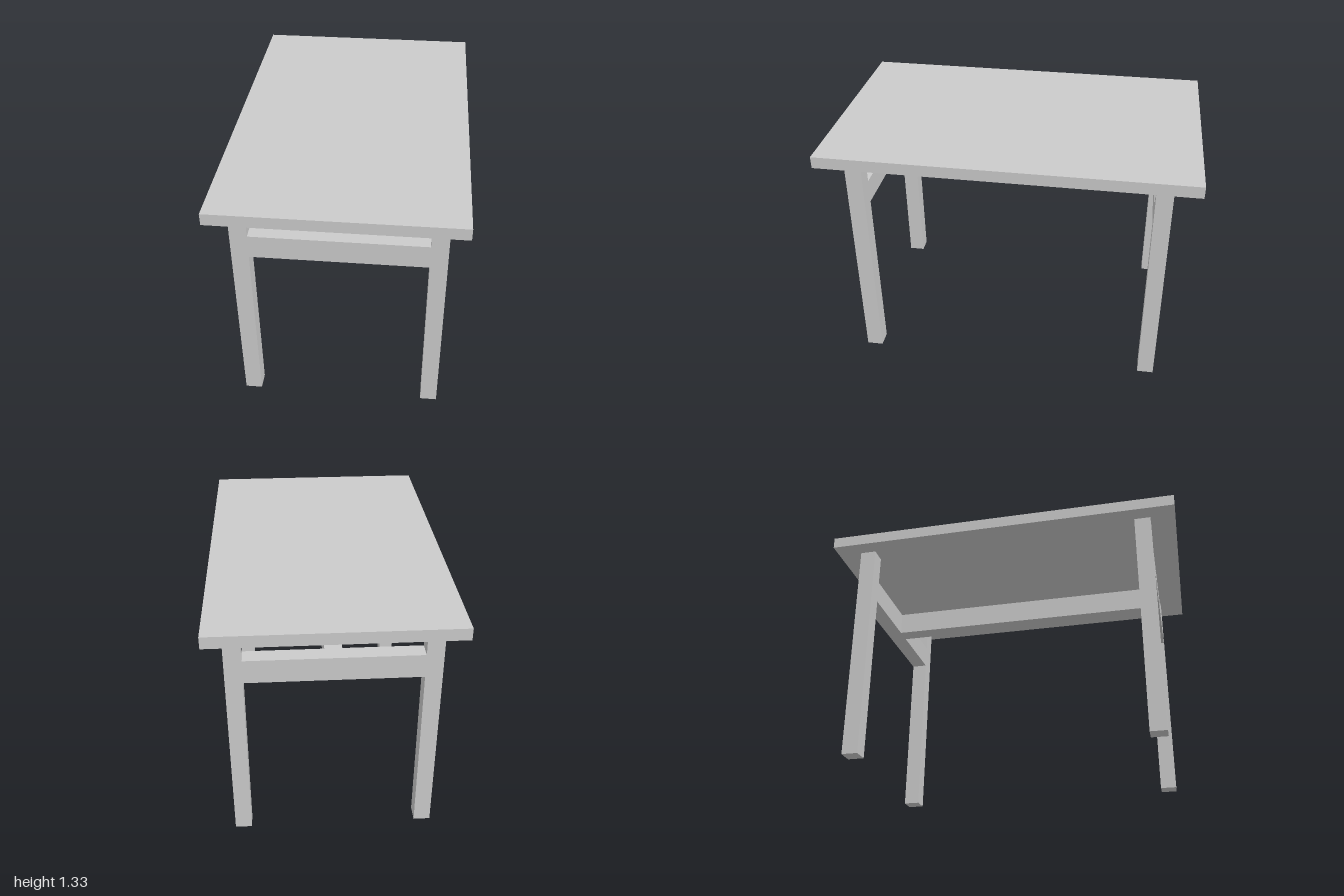
import * as THREE from 'three';

export function createModel() {
  const table = new THREE.Group();
  table.name = 'table';
  const material = new THREE.MeshStandardMaterial({ color: 0xcccccc, flatShading: true });

  const addBox = (name, [w, h, d], [x, y, z]) => {
    const mesh = new THREE.Mesh(new THREE.BoxGeometry(w, h, d), material);
    mesh.name = name;
    mesh.position.set(x, y, z);
    table.add(mesh);
  };

  const beam = 0.09; // thickness of legs and rails
  const legHeight = 1.27, topThickness = 0.064;
  const legX = 0.5, legZ = 0.817;
  const railHeight = 0.13, railY = 1.04;

  // Table top
  addBox('tableTop', [1.27, topThickness, 2], [0, legHeight + topThickness / 2, 0]);

  for (const [end, sz] of [['front', 1], ['back', -1]]) {
    // Legs
    for (const [side, sx] of [['Left', 1], ['Right', -1]]) {
      addBox(`${end}${side}Leg`, [beam, legHeight, beam], [sx * legX, legHeight / 2, sz * legZ]);
    }
    // Rail joining the two legs at this end
    addBox(`${end}Rail`, [2 * legX - beam, railHeight, beam], [0, railY, sz * legZ]);
  }

  // Central stretcher between the end rails
  addBox('stretcher', [beam, railHeight, 2 * legZ - beam], [0, railY, 0]);

  return table;
}
